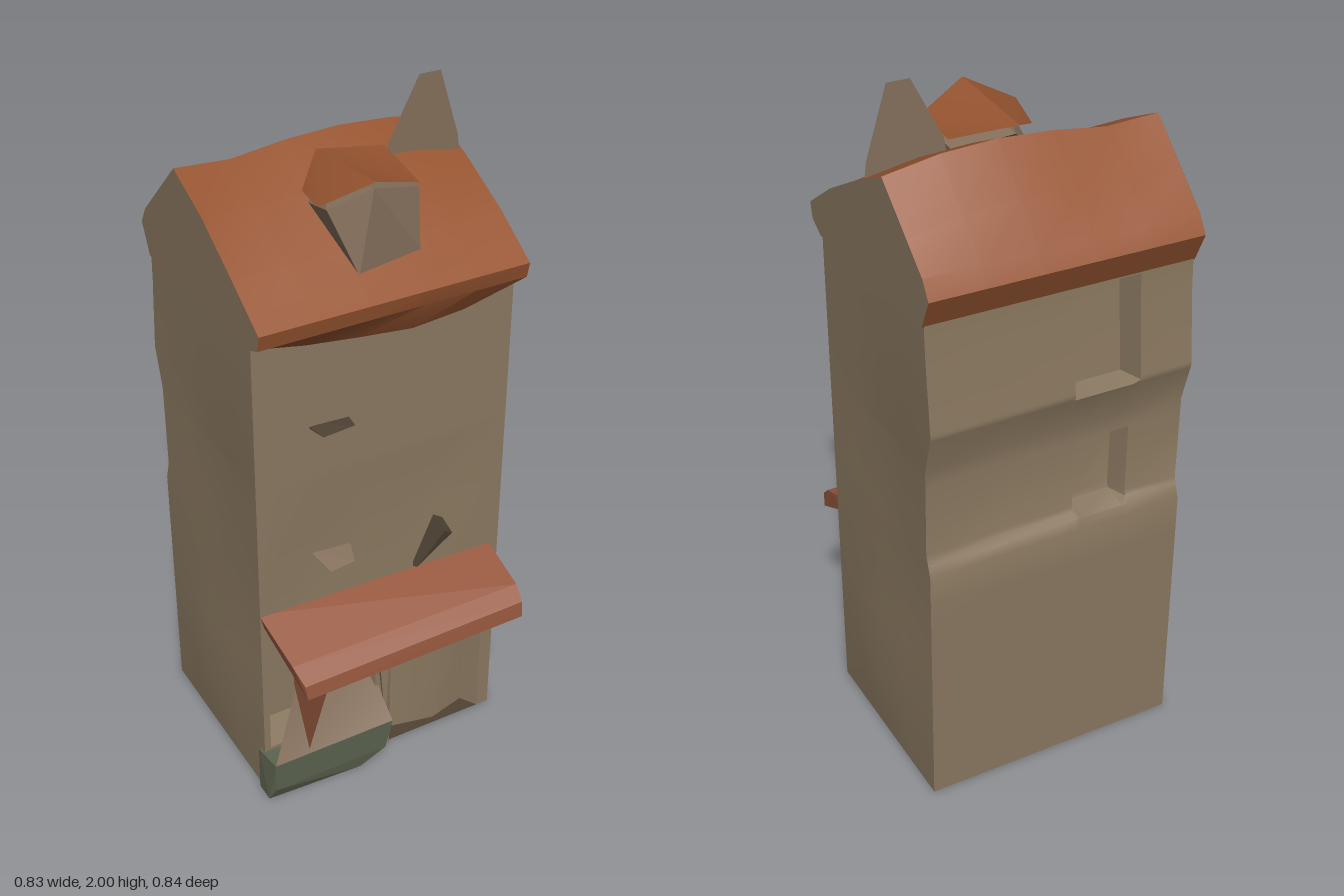
import * as THREE from 'three';
import { toCreasedNormals } from 'three/addons/utils/BufferGeometryUtils.js';
import { ConvexGeometry } from 'three/addons/geometries/ConvexGeometry.js';

const mat = (color) => new THREE.MeshStandardMaterial({ color, side: THREE.DoubleSide });
const WALL = mat(0x8a7860), ROOF = mat(0x965430), AWNING = mat(0x97583f);
const DARK = mat(0x4f4334), GREEN = mat(0x5d6450), STONE = mat(0x86705c);

// piecewise linear lookup in [key, value] pairs
function lookup(table, t) {
  for (let i = 1; i < table.length; i++) {
    const [a, va] = table[i - 1], [b, vb] = table[i];
    if (t <= b) return va + (vb - va) * Math.max(0, (t - a) / (b - a));
  }
  return table[table.length - 1][1];
}

const inside = (x, y, [x0, x1, y0, y1]) => x > x0 + 0.002 && x < x1 - 0.002 && y > y0 + 0.002 && y < y1 - 0.002;

// surface over a grid of u and v values; fn gives each point
function grid(us, vs, fn) {
  const pos = [], index = [], n = us.length;
  for (const v of vs) for (const u of us) pos.push(...fn(u, v));
  for (let j = 0; j < vs.length - 1; j++) {
    for (let i = 0; i < n - 1; i++) {
      const a = j * n + i, b = a + 1, c = a + n, d = c + 1;
      index.push(a, b, d, a, d, c);
    }
  }
  const g = new THREE.BufferGeometry();
  g.setAttribute('position', new THREE.Float32BufferAttribute(pos, 3));
  g.setIndex(index);
  return toCreasedNormals(g, 0.6);
}

export function createModel() {
  const model = new THREE.Group();
  const add = (name, geometry, material) => {
    const m = new THREE.Mesh(geometry, material);
    m.name = name;
    model.add(m);
    return m;
  };
  const hull = (name, points, material) =>
    add(name, new ConvexGeometry(points.map((p) => new THREE.Vector3(...p))), material);
  const sheet = (name, points, material) => {
    const g = new THREE.BufferGeometry().setFromPoints(points.map((p) => new THREE.Vector3(...p)));
    const index = [];
    for (let i = 1; i < points.length - 1; i++) index.push(0, i, i + 1);
    g.setIndex(index);
    return add(name, toCreasedNormals(g, 0.5), material);
  };

  // crooked walls: the back edge wanders with height, the sides bulge low down
  const W = 0.39, F = 0.22;
  const backEdge = [[0, -0.38], [0.66, -0.385], [0.76, -0.385], [0.82, -0.365], [1.08, -0.37], [1.2, -0.405], [1.42, -0.385], [1.55, -0.38]];
  const zBack = (y) => lookup(backEdge, y);
  const sideX = (y, z) => {
    const low = lookup([[0, 0], [0.25, 0.03], [0.66, 0]], y) * lookup([[-0.38, 0], [-0.06, 1], [0.22, 0]], z);
    const waist = lookup([[0.7, 0], [1.05, -0.015], [1.4, 0]], y) * lookup([[-0.38, 0], [-0.1, 1], [0.22, 0]], z);
    return W + low + waist;
  };

  const shop = [-0.37, -0.02, 0.16, 0.52], door = [0.03, 0.35, -0.1, 0.5];
  add('frontWall', grid(
    [-W, -0.37, -0.33, -0.2, -0.05, -0.02, 0.03, 0.06, 0.2, 0.32, 0.35, W],
    [0, 0.16, 0.18, 0.3, 0.45, 0.5, 0.52, 0.66, 0.85, 1.05, 1.08, 1.25, 1.55],
    (x, y) => {
      let z = F;
      if (inside(x, y, shop)) z -= 0.1;
      if (inside(x, y, door)) z -= x === 0.2 ? 0.02 : 0.05;
      if (y === 0.85 && Math.abs(x) < 0.3) z -= 0.015;
      return [x, y, z];
    }), WALL);

  const windows = [[-0.23, -0.06, 0.79, 1.03], [-0.23, -0.03, 1.19, 1.5]];
  add('backWall', grid(
    [0.39, 0.15, -0.03, -0.05, -0.06, -0.075, -0.21, -0.23, -W],
    [0, 0.35, 0.66, 0.76, 0.79, 0.805, 0.82, 1.015, 1.03, 1.08, 1.19, 1.2, 1.21, 1.42, 1.48, 1.5, 1.55],
    (x, y) => {
      let z = zBack(y);
      if (windows.some((w) => inside(x, y, w))) z += 0.07;
      else if (y > 0.8 && y < 1.15 && Math.abs(x) < 0.3) z += 0.012;
      return [x, y, z];
    }), WALL);

  const ys = [0, 0.25, 0.45, 0.66, 0.76, 0.82, 1.05, 1.08, 1.2, 1.42, 1.55];
  const ts = [0, 0.25, 0.53, 0.75, 1];
  for (const s of [1, -1]) {
    add(s > 0 ? 'leftWall' : 'rightWall', grid(s > 0 ? ts : [...ts].reverse(), ys, (t, y) => {
      const z = F + (zBack(y) - F) * t;
      return [s * sideX(y, z), y, z];
    }), WALL);
  }
  add('underside', grid([-W, W], [-0.38, F], (x, z) => [x, 0, z]), DARK);

  // sagging gable roof: profile swept from side to side, gable ends in wall colour
  const profile = [[0.22, 1.46], [0.27, 1.53], [0.28, 1.575], [0.14, 1.665], [-0.02, 1.79], [-0.18, 1.86],
    [-0.3, 1.745], [-0.39, 1.635], [-0.42, 1.585], [-0.38, 1.5]];
  const shape = new THREE.Shape(profile.map(([z, y]) => new THREE.Vector2(-z, y)));
  const roofGeo = new THREE.ExtrudeGeometry(shape, { depth: 0.79, steps: 5, bevelEnabled: false });
  roofGeo.translate(0, 0, -0.395).rotateY(Math.PI / 2);
  const p = roofGeo.attributes.position;
  for (let i = 0; i < p.count; i++) {
    const x = p.getX(i), y = p.getY(i);
    if (y > 1.7) p.setY(i, y + lookup([[-0.4, -0.025], [-0.24, -0.035], [0, -0.005], [0.2, -0.01], [0.4, -0.045]], x));
    if (y < 1.47) p.setY(i, y + lookup([[-0.4, 0.05], [-0.2, 0.01], [0.16, -0.03], [0.4, 0.04]], x));
  }
  add('roof', toCreasedNormals(roofGeo, 0.35), [WALL, ROOF]);

  // dormer leaning out of the front slope
  hull('dormerBody', [[-0.07, 1.62, 0.2], [0.12, 1.64, 0.18], [-0.13, 1.79, 0.14], [0.13, 1.8, 0.15],
    [-0.03, 1.85, 0.2], [-0.03, 1.81, -0.08], [0.14, 1.79, -0.06], [-0.11, 1.75, 0]], STONE);
  const ridgeBack = [-0.03, 1.84, -0.1], ridgeFront = [-0.03, 1.872, 0.21];
  sheet('dormerRoofRight', [ridgeBack, [-0.13, 1.79, 0.01], [-0.16, 1.81, 0.15], ridgeFront], ROOF);
  sheet('dormerRoofLeft', [ridgeBack, ridgeFront, [0.13, 1.812, 0.15], [0.155, 1.825, -0.065]], ROOF);

  // flat chimney
  sheet('chimney', [[0.155, 1.76, -0.062], [0.39, 1.74, -0.062], [0.38, 1.81, -0.062],
    [0.32, 2, -0.062], [0.255, 2, -0.062], [0.165, 1.83, -0.062]], STONE);

  // awning over the shop front
  hull('awning', [[-0.39, 0.66, 0.21], [0.36, 0.64, 0.21], [-0.38, 0.62, 0.21], [0.36, 0.6, 0.21],
    [-0.37, 0.585, 0.37], [0.36, 0.585, 0.37], [-0.355, 0.54, 0.415], [0.355, 0.55, 0.41],
    [-0.35, 0.495, 0.42], [0.355, 0.5, 0.415]], AWNING);
  sheet('awningBrace', [[-0.28, 0.51, 0.41], [-0.28, 0.17, 0.29], [-0.28, 0.35, 0.2], [-0.28, 0.6, 0.2]], AWNING);

  // shop counter with a sloping display
  hull('counter', [[-0.4, 0, 0.2], [0.02, 0, 0.2], [-0.4, 0, 0.26], [-0.1, 0, 0.275], [-0.39, 0.15, 0.29],
    [0, 0.15, 0.29], [-0.4, 0.15, 0.2], [0, 0.15, 0.2], [-0.39, 0.05, 0.285], [-0.02, 0.05, 0.285]], GREEN);
  sheet('display', [[-0.39, 0.152, 0.29], [0, 0.152, 0.29], [-0.02, 0.32, 0.16], [-0.27, 0.35, 0.2]], STONE);
  hull('doorPost', [[-0.03, 0.5, 0.24], [0.02, 0.5, 0.24], [0, 0.1, 0.25], [0.02, 0, 0.24],
    [0.04, 0, 0.2], [-0.02, 0.5, 0.2], [0.03, 0.5, 0.2]], WALL);

  // small ledges and a bracket on the front wall
  hull('upperLedge', [[-0.23, 1.225, 0.21], [-0.11, 1.225, 0.21], [-0.22, 1.23, 0.28], [-0.12, 1.23, 0.27],
    [-0.23, 1.231, 0.21]], DARK);
  hull('lowerLedge', [[-0.22, 0.81, 0.21], [-0.1, 0.8, 0.21], [-0.2, 0.785, 0.28], [-0.12, 0.785, 0.27],
    [-0.17, 0.775, 0.21]], STONE);
  hull('bracket', [[0.09, 0.645, 0.21], [0.17, 0.8, 0.21], [0.2, 0.78, 0.21], [0.165, 0.79, 0.28],
    [0.19, 0.775, 0.28], [0.11, 0.65, 0.23]], DARK);
  return model;
}
